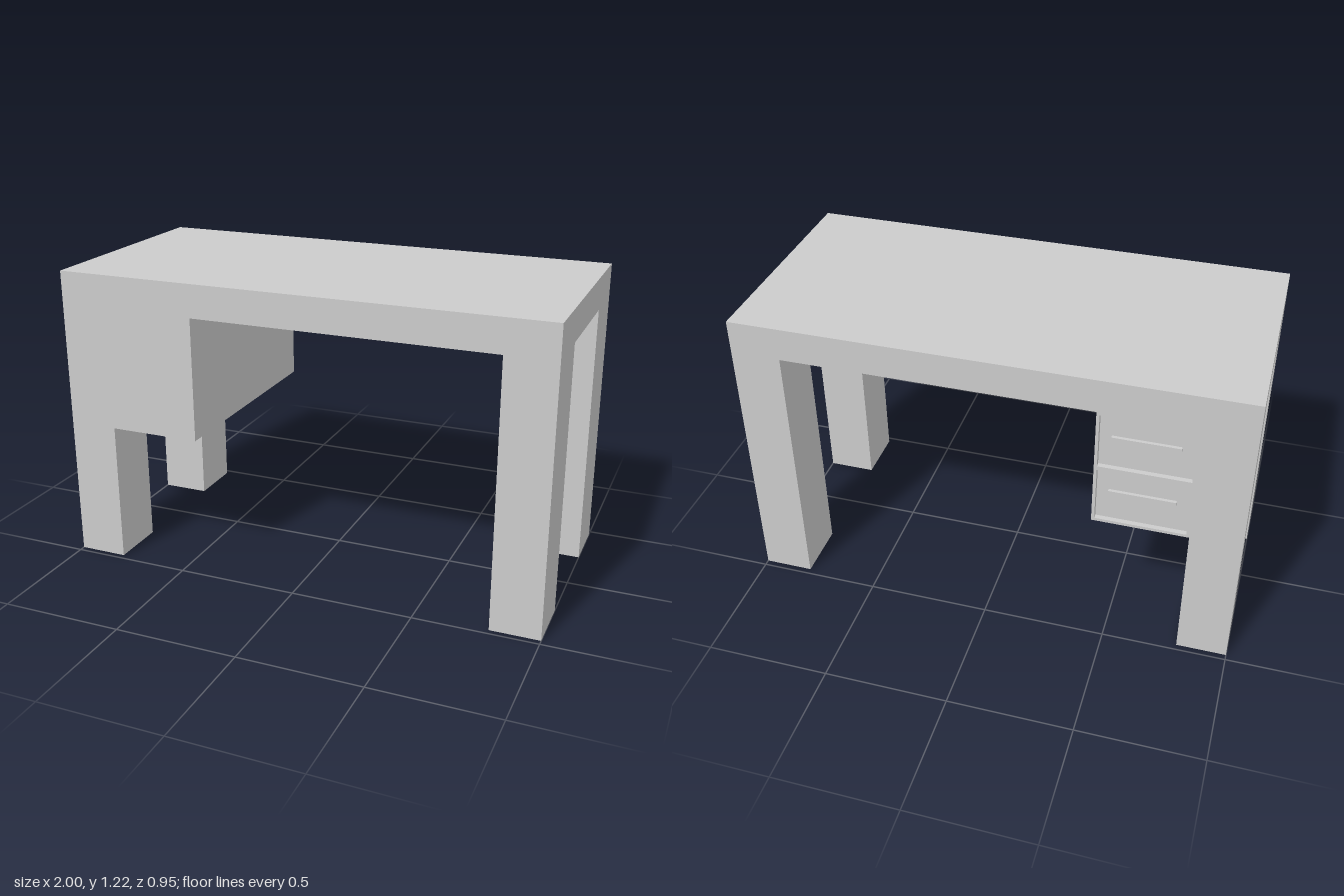
import * as THREE from 'three';

const W = 1, D = 0.475, H = 1.22, UNDER = 1.085; // half width, half depth, height, slab underside
const LEG_X = 0.8, LEG_Z = 0.2375;               // inner faces of the legs
const CAB = { x0: -0.8, x1: -0.425, y0: 0.58, y1: UNDER };
const RECESS = 0.02, RIM = 0.012;

export function createModel() {
  const group = new THREE.Group();
  group.name = 'desk';
  const material = new THREE.MeshStandardMaterial({ color: 0xcccccc, flatShading: true });

  const add = (name, geometry) => {
    const mesh = new THREE.Mesh(geometry, material);
    mesh.name = name;
    group.add(mesh);
    return mesh;
  };
  // Box given by its lower and upper corner
  const box = (name, x0, x1, y0, y1, z0, z1) =>
    add(name, new THREE.BoxGeometry(x1 - x0, y1 - y0, z1 - z0))
      .position.set((x0 + x1) / 2, (y0 + y1) / 2, (z0 + z1) / 2);
  const rectangle = (target, x0, x1, y0, y1) =>
    target.moveTo(x0, y0).lineTo(x1, y0).lineTo(x1, y1).lineTo(x0, y1).closePath();

  // Thick top slab
  box('tabletop', -W, W, UNDER, H, -D, D);

  // Four block legs, flush with the slab corners
  for (const sx of [-1, 1]) {
    for (const sz of [-1, 1]) {
      const name = (sz > 0 ? 'front' : 'back') + (sx > 0 ? 'Left' : 'Right') + 'Leg';
      const xs = [sx * LEG_X, sx * W].sort((a, b) => a - b);
      const zs = [sz * LEG_Z, sz * D].sort((a, b) => a - b);
      box(name, ...xs, 0, UNDER, ...zs);
    }
  }

  // Cabinet body; its rear face forms the recessed drawer fronts
  box('drawerCabinet', CAB.x0, CAB.x1, CAB.y0, CAB.y1, -D + RECESS, D);

  // Thin rim with one opening per drawer
  const openings = [[0.842, CAB.y1 - RIM], [CAB.y0 + RIM, 0.824]];
  const rim = new THREE.Shape();
  rectangle(rim, CAB.x0, CAB.x1, CAB.y0, CAB.y1);
  for (const [y0, y1] of openings) {
    const hole = new THREE.Path();
    rectangle(hole, CAB.x0 + RIM, CAB.x1 - RIM, y0, y1);
    rim.holes.push(hole);
  }
  add('drawerRim', new THREE.ExtrudeGeometry(rim, { depth: RECESS, bevelEnabled: false }))
    .position.z = -D;

  // Slim bar handle on each drawer
  openings.forEach(([y0, y1], i) => {
    const y = (y0 + y1) / 2 + 0.012;
    box(i ? 'lowerHandle' : 'upperHandle', -0.738, -0.482, y - 0.009, y + 0.009,
      -D + 0.007, -D + RECESS + 0.005);
  });

  return group;
}
